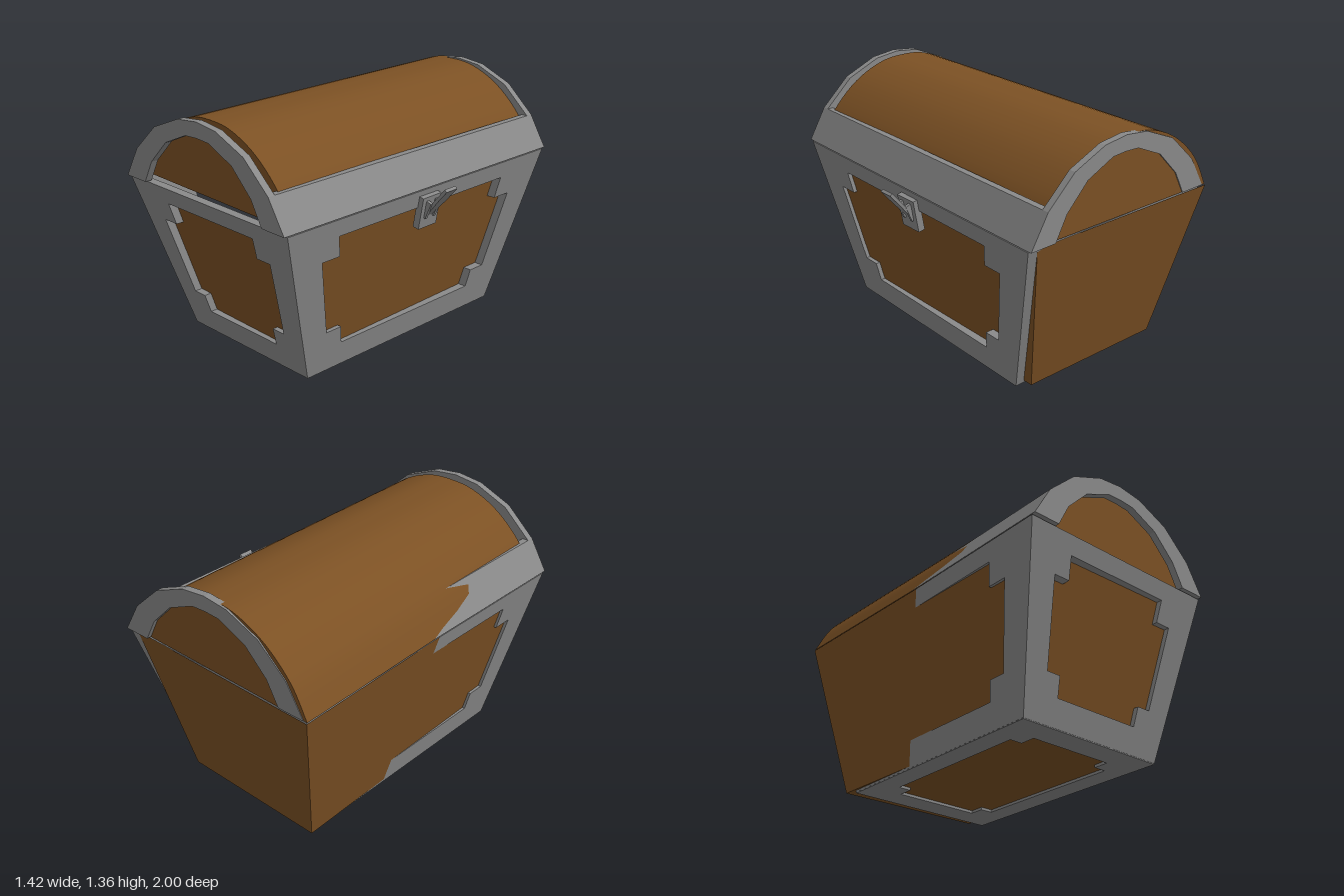
import * as THREE from 'three';
import { toCreasedNormals } from 'three/addons/utils/BufferGeometryUtils.js';

const RIM = 0.92; // height of the body rim
const LID = 0.925; // height where the lid starts

const shapeOf = (pts) => new THREE.Shape(pts.map(([x, y]) => new THREE.Vector2(x, y)));
const extrude = (shape, depth) =>
  new THREE.ExtrudeGeometry(shape, { depth, bevelEnabled: false, curveSegments: 24 });

// The metalwork sits slightly skewed around the wooden box
const skew = (geo) => {
  const m = new THREE.Matrix4().set(
    1, 0, -0.0233, -0.0625,
    0, 1, 0, 0,
    -0.02, 0, 1, 0,
    0, 0, 0, 1);
  geo.applyMatrix4(m);
  geo.computeVertexNormals();
  return geo;
};

// Rectangular frame with a notched opening; a and b are the inner and outer half widths
const frameShape = (w, y0, y1, a, b, rows) => {
  const [r0, r1, r2, r3] = rows;
  const s = shapeOf([[-w, y0], [w, y0], [w, y1], [-w, y1]]);
  const side = [[a, r0], [a, r1], [b, r1], [b, r2], [a, r2], [a, r3]];
  const hole = [...side, ...side.map(([x, y]) => [-x, y]).reverse()];
  s.holes.push(new THREE.Path(hole.map(([x, y]) => new THREE.Vector2(x, y))));
  return s;
};

// Half of an arch, mirrored into a full one
const mirrored = (half) => [...half, ...half.slice(0, -1).reverse().map(([x, y]) => [-x, y])];

export function createModel() {
  const chest = new THREE.Group();
  chest.name = 'chest';
  const wood = new THREE.MeshStandardMaterial({ color: 0x7c5124 });
  wood.name = 'brown wood';
  const metal = new THREE.MeshStandardMaterial({ color: 0x8a8a8a });
  metal.name = 'grey metal';
  const add = (name, geo, mat) => {
    const mesh = new THREE.Mesh(geo, mat);
    mesh.name = name;
    chest.add(mesh);
    return mesh;
  };

  // Wooden body: tapered box, open at the top
  const box = new THREE.BoxGeometry(2, 2, 2);
  box.setIndex([...box.index.array].filter((_, i) => i < 12 || i >= 18));
  box.clearGroups();
  const p = box.attributes.position;
  for (let i = 0; i < p.count; i++) {
    const top = p.getY(i) > 0;
    const right = p.getX(i) > 0;
    const front = p.getZ(i) > 0;
    p.setXYZ(i,
      right ? (top ? 0.525 : 0.365) : (top ? -0.688 : -0.523),
      top ? RIM : 0.015,
      front ? (top ? 0.925 : 0.68) : (top ? -0.975 : -0.78));
  }
  box.computeVertexNormals();
  add('woodenBody', box, wood);

  // Sloping metal frames on the four sides
  const half = (bottom, top) => (y) => bottom + (top - bottom) * y / RIM;
  const hx = half(0.4625, 0.625);
  const hz = half(0.71, 0.965);
  const sideFrame = (name, width, dist, a, b, turn) => {
    const t = 0.05;
    const geo = extrude(frameShape(1, 0.005, RIM, a, b, [0.145, 0.25, 0.7, 0.822]), t);
    const q = geo.attributes.position;
    for (let i = 0; i < q.count; i++) {
      const y = q.getY(i);
      q.setXYZ(i, q.getX(i) * width(y), y, dist(y) - t + q.getZ(i));
    }
    add(name, skew(geo.rotateY(turn)), metal);
  };
  sideFrame('frontFrame', hx, hz, 0.555, 0.72, 0);
  sideFrame('rightFrame', hz, hx, 0.66, 0.79, Math.PI / 2);
  sideFrame('backFrame', hx, hz, 0.555, 0.72, Math.PI);
  sideFrame('leftFrame', hz, hx, 0.66, 0.79, -Math.PI / 2);

  // Metal frame under the body
  const base = extrude(frameShape(0.4625, -0.71, 0.71, 0.26, 0.335, [-0.56, -0.47, 0.47, 0.56]), 0.03);
  add('bottomFrame', skew(base.rotateX(Math.PI / 2).translate(0, 0.03, 0)), metal);

  // Rounded wooden lid
  const lidCurve = new THREE.SplineCurve(
    mirrored([[0.6, LID], [0.5, 1.1], [0.34, 1.245], [0.16, 1.327], [0, 1.345]])
      .map(([x, y]) => new THREE.Vector2(x, y)));
  const lid = extrude(new THREE.Shape(lidCurve.getPoints(40)), 1.865);
  lid.translate(-0.087, 0, -0.97);
  add('woodenLid', toCreasedNormals(lid, 0.6), wood);

  // Metal arches at both ends of the lid
  const outer = mirrored([[0.625, LID], [0.52, 1.1], [0.35, 1.255], [0.15, 1.338], [0, 1.355]]);
  const inner = mirrored([[0.465, LID], [0.395, 1.055], [0.26, 1.19], [0.09, 1.265], [0, 1.27]]);
  const archShape = shapeOf([...outer, ...inner.reverse()]);
  for (const [name, z] of [['frontArch', 0.945], ['backArch', -0.985]]) {
    add(name, skew(extrude(archShape, 0.04).translate(0, 0, z)), metal);
  }

  // Metal strips along the lower edges of the lid
  for (const [name, s] of [['leftLidStrip', 1], ['rightLidStrip', -1]]) {
    const strip = shapeOf([[0.625, LID], [0.52, 1.1], [0.483, 1.1], [0.585, LID]].map(([x, y]) => [s * x, y]));
    add(name, skew(extrude(strip, 1.97).translate(0, 0, -0.985)), metal);
  }

  // Latch: plate, two prongs and a flared hook leaning outwards
  const plate = add('latchPlate', new THREE.BoxGeometry(0.04, 0.185, 0.14), metal);
  plate.position.set(0.548, 0.795, -0.02);
  plate.rotation.z = -0.175;
  for (const z of [0.013, -0.053]) {
    const prong = add('latchProng', new THREE.BoxGeometry(0.03, 0.1, 0.018), metal);
    prong.position.set(0.577, 0.81, z);
    prong.rotation.z = -0.4;
  }
  const hook = extrude(shapeOf([[-0.025, 0], [0.025, 0], [0.042, 0.14], [0.042, 0.235], [-0.042, 0.235], [-0.042, 0.14]]), 0.018);
  hook.rotateY(Math.PI / 2).rotateZ(-0.7).translate(0.545, 0.775, -0.025);
  add('latchHook', hook, metal);

  return chest;
}
